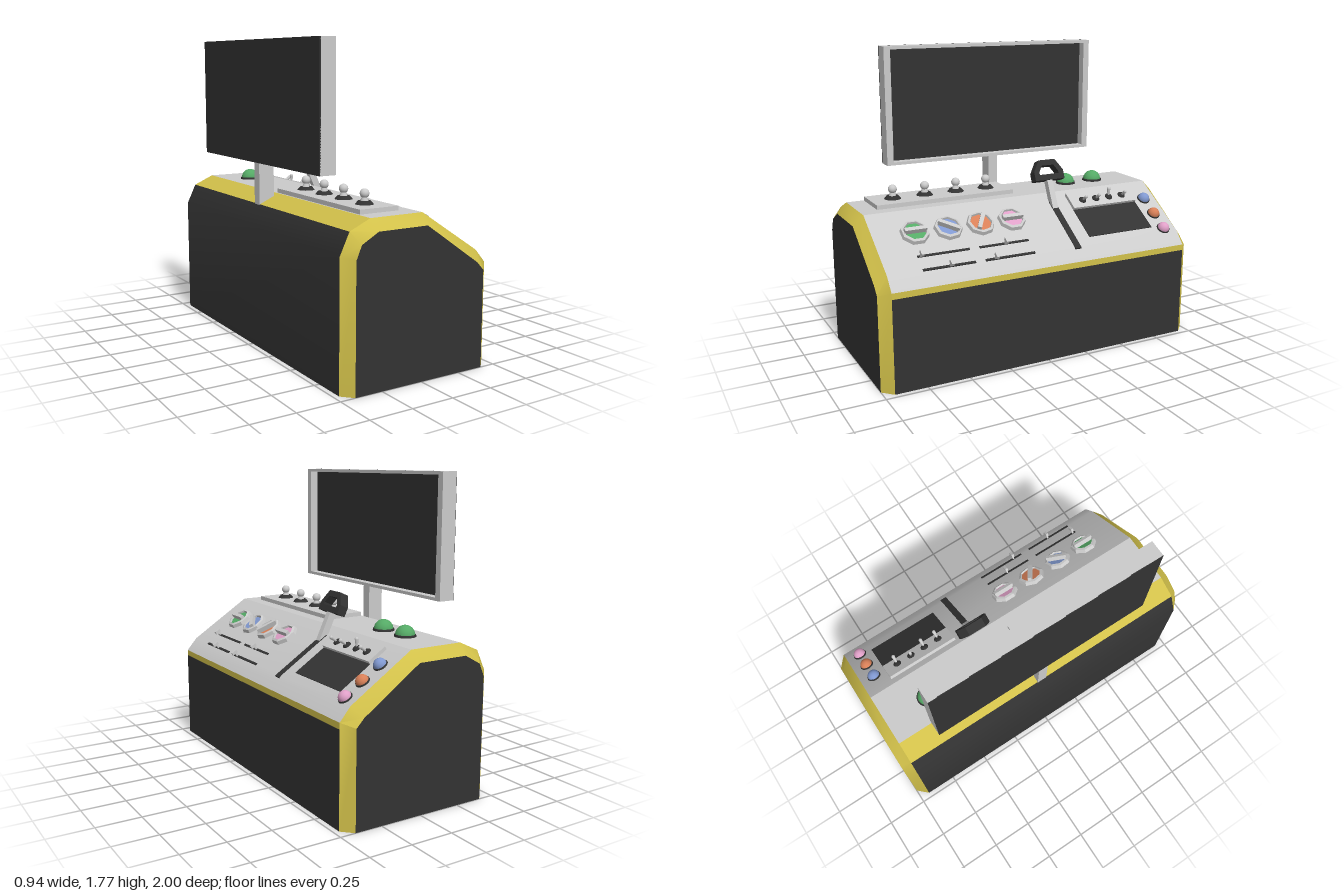
import * as THREE from 'three';
import { toCreasedNormals } from 'three/addons/utils/BufferGeometryUtils.js';

const mat = (color, extra = {}) => new THREE.MeshStandardMaterial({ color, ...extra });
const grey = mat(0xcccccc);
const dark = mat(0x333333);
const darkThin = mat(0x333333, { side: THREE.DoubleSide });
const yellow = mat(0xd2c14a);
const green = mat(0x55aa66), blue = mat(0x8098d0), orange = mat(0xd88058), pink = mat(0xe0a0c8);

function add(parent, name, geometry, material, x = 0, y = 0, z = 0) {
  const mesh = new THREE.Mesh(geometry, material);
  mesh.name = name;
  mesh.position.set(x, y, z);
  parent.add(mesh);
  return mesh;
}

function group(parent, name, x = 0, y = 0, z = 0) {
  const g = new THREE.Group();
  g.name = name;
  g.position.set(x, y, z);
  parent.add(g);
  return g;
}

// box given by its limits on each axis
function block(parent, name, material, [x0, x1], [y0, y1], [z0, z1]) {
  return add(parent, name, new THREE.BoxGeometry(x1 - x0, y1 - y0, z1 - z0), material,
    (x0 + x1) / 2, (y0 + y1) / 2, (z0 + z1) / 2);
}

const cyl = (rTop, rBottom, h, n = 16) => new THREE.CylinderGeometry(rTop, rBottom, h, n);
const dome = (r) => new THREE.SphereGeometry(r, 20, 8, 0, Math.PI * 2, 0, Math.PI / 2);
const toShape = (pts) => new THREE.Shape(pts.map(([x, y]) => new THREE.Vector2(x, y)));

// skin between two matching profiles at two depths
function loft(low, zLow, high, zHigh) {
  const pos = [];
  for (let i = 0; i + 1 < low.length; i++) {
    const a = [...low[i], zLow], b = [...high[i], zHigh];
    const c = [...high[i + 1], zHigh], d = [...low[i + 1], zLow];
    pos.push(...a, ...b, ...c, ...a, ...c, ...d);
  }
  const g = new THREE.BufferGeometry();
  g.setAttribute('position', new THREE.Float32BufferAttribute(pos, 3));
  return toCreasedNormals(g, 0.5);
}

// console cross-section, from the back foot over the top to the front foot
const OUTER = [[-0.47, 0], [-0.47, 0.71], [-0.413, 0.83], [-0.29, 0.885],
  [0.035, 0.885], [0.405, 0.645], [0.47, 0.57], [0.47, 0]];
const INNER = [[-0.412, 0], [-0.412, 0.695], [-0.38, 0.77], [-0.28, 0.826],
  [0.025, 0.826], [0.365, 0.592], [0.41, 0.545], [0.41, 0]];
const Z = 0.94;

function buildBody(parent) {
  const body = group(parent, 'consoleBody');
  const skin = (name, pts, m) => add(body, name, loft(pts, -Z, pts, Z), m);
  skin('backPanel', OUTER.slice(0, 3), dark);
  skin('backTrim', OUTER.slice(2, 4), yellow);
  skin('controlDeck', OUTER.slice(3, 7), grey);
  skin('frontTrim', [[0.47, 0.57], [0.47, 0.535]], yellow);
  skin('frontPanel', [[0.47, 0.535], [0.47, 0]], dark);
  add(body, 'leftEndTrim', loft(OUTER, Z, INNER, 1), yellow);
  add(body, 'rightEndTrim', loft(INNER, -1, OUTER, -Z), yellow);
  for (const s of [1, -1])
    add(body, 'endPanel', new THREE.ShapeGeometry(toShape(INNER)), darkThin, 0, 0, s);
  const floor = [[-0.47, -Z], [-0.41, -1], [0.41, -1], [0.47, -Z], [0.47, Z], [0.41, 1], [-0.41, 1], [-0.47, Z]];
  add(body, 'floor', new THREE.ShapeGeometry(toShape(floor)).rotateX(Math.PI / 2), dark);
}

function buildMonitor(parent) {
  const m = group(parent, 'monitor');
  const X = [-0.415, -0.32];
  block(m, 'monitorPost', grey, X, [0.8, 1.07], [-0.06, 0]);
  for (const y of [1.07, 1.757]) block(m, 'monitorRim', grey, X, [y, y + 0.018], [-0.73, 0.67]);
  for (const z of [-0.73, 0.63]) block(m, 'monitorSide', grey, X, [1.07, 1.775], [z, z + 0.04]);
  block(m, 'screen', dark, [-0.41, -0.37], [1.08, 1.765], [-0.7, 0.64]);
  block(m, 'monitorBack', dark, [-0.417, -0.41], [1.07, 1.775], [-0.73, 0.67]);
}

function buildTop(parent) {
  const top = group(parent, 'topControls');
  block(top, 'joystickPlate', grey, [-0.28, -0.04], [0.88, 0.91], [-0.03, 0.835]);
  for (const z of [0.1, 0.3, 0.5, 0.7]) {
    const j = group(top, 'joystick', -0.16, 0.91, z);
    add(j, 'joystickBase', cyl(0.035, 0.05, 0.018, 20), dark, 0, 0.009);
    add(j, 'joystickStem', cyl(0.012, 0.022, 0.035), grey, 0, 0.033);
    add(j, 'joystickBall', new THREE.SphereGeometry(0.026, 16, 12), grey, 0, 0.057);
  }
  for (const z of [-0.66, -0.46]) button(top, green, -0.14, 0.885, z, 0.062);
}

// domed push button with a dark collar
function button(parent, material, x, y, z, r) {
  const b = group(parent, 'pushButton', x, y, z);
  add(b, 'buttonCollar', cyl(r * 0.96, r, r * 0.2, 20), dark, 0, r * 0.1);
  add(b, 'buttonDome', dome(r * 0.9), material, 0, r * 0.12);
}

function buildSlope(parent) {
  // local x runs down the slope, local y points away from it
  const slope = group(parent, 'slopedControls', 0.035, 0.885, 0);
  slope.rotation.z = -Math.atan2(0.24, 0.37);

  // rotary selectors: octagonal bezel, coloured disc, pointer bar
  [[0.1, pink, Math.PI / 2], [0.3, orange, -0.55], [0.5, blue, 0.95], [0.7, green, Math.PI / 2]].forEach(([z, m, a]) => {
    const k = group(slope, 'rotaryKnob', 0.18, 0, z);
    k.rotation.y = a;
    const bezel = [[0.085, 0], [0.08, 0.022], [0.066, 0.028], [0.062, 0.012]].map(([r, y]) => new THREE.Vector2(r, y));
    add(k, 'knobBezel', new THREE.LatheGeometry(bezel, 8),
      mat(0xcccccc, { flatShading: true, side: THREE.DoubleSide })).rotation.y = Math.PI / 8;
    add(k, 'knobDisc', cyl(0.066, 0.066, 0.016, 8), m, 0, 0.008).rotation.y = Math.PI / 8;
    add(k, 'knobPointer', new THREE.BoxGeometry(0.13, 0.034, 0.024), grey, 0, 0.029);
  });

  // slider tracks and their handles
  [[0.345, 0.06, 0.21], [0.345, 0.43, 0.72], [0.44, 0.06, 0.31], [0.44, 0.43, 0.58]].forEach(([u, z, h]) => {
    block(slope, 'sliderTrack', dark, [u - 0.007, u + 0.007], [-0.01, 0.004], [z, z + 0.31]);
    add(slope, 'sliderStem', new THREE.BoxGeometry(0.012, 0.03, 0.01), grey, u, 0.015, h);
    add(slope, 'sliderHandle', new THREE.BoxGeometry(0.035, 0.018, 0.016), grey, u + 0.005, 0.034, h);
  });

  // toggle strip with the small display below it
  block(slope, 'toggleStrip', grey, [0.045, 0.17], [-0.01, 0.02], [-0.78, -0.33]);
  block(slope, 'smallDisplay', dark, [0.17, 0.39], [-0.01, 0.004], [-0.78, -0.33]);
  [[-0.7, -0.35], [-0.605, 0.55], [-0.51, -0.35], [-0.415, -0.35]].forEach(([z, tilt]) => {
    const t = group(slope, 'toggleSwitch', 0.115, 0.02, z);
    add(t, 'toggleBase', dome(0.024), dark).scale.y = 0.6;
    const arm = group(t, 'toggleArm');
    arm.rotation.z = tilt;
    add(arm, 'toggleStem', cyl(0.011, 0.006, 0.045, 10), grey, 0, 0.03);
    add(arm, 'toggleTip', new THREE.SphereGeometry(0.011, 10, 8), grey, 0, 0.052);
  });

  [[0.155, blue], [0.286, orange], [0.411, pink]].forEach(([u, m]) => button(slope, m, u, 0, -0.855, 0.041));
  block(slope, 'leverSlot', dark, [0.08, 0.46], [-0.03, 0.004], [-0.24, -0.2]);
}

function buildLever(parent) {
  const lever = group(parent, 'lever', 0.135, 0.8, -0.22);
  lever.rotation.z = 0.43;
  add(lever, 'leverArm', new THREE.BoxGeometry(0.042, 0.22, 0.036), grey, 0, 0.09);
  // closed grip loop with an opening for the hand
  const grip = toShape([[-0.1, 0], [0.1, 0], [0.1, 0.055], [0.055, 0.125], [-0.055, 0.125], [-0.1, 0.055]]);
  grip.holes.push(toShape([[-0.065, 0.035], [-0.065, 0.05], [-0.04, 0.09], [0.04, 0.09], [0.065, 0.05], [0.065, 0.035]]));
  const g = new THREE.ExtrudeGeometry(grip, { depth: 0.055, bevelEnabled: false });
  g.translate(0, 0, -0.0275).rotateY(Math.PI / 2);
  add(lever, 'leverGrip', g, dark, 0, 0.182);
}

export function createModel() {
  const model = new THREE.Group();
  model.name = 'controlConsole';
  buildBody(model);
  buildMonitor(model);
  buildTop(model);
  buildSlope(model);
  buildLever(model);
  return model;
}
